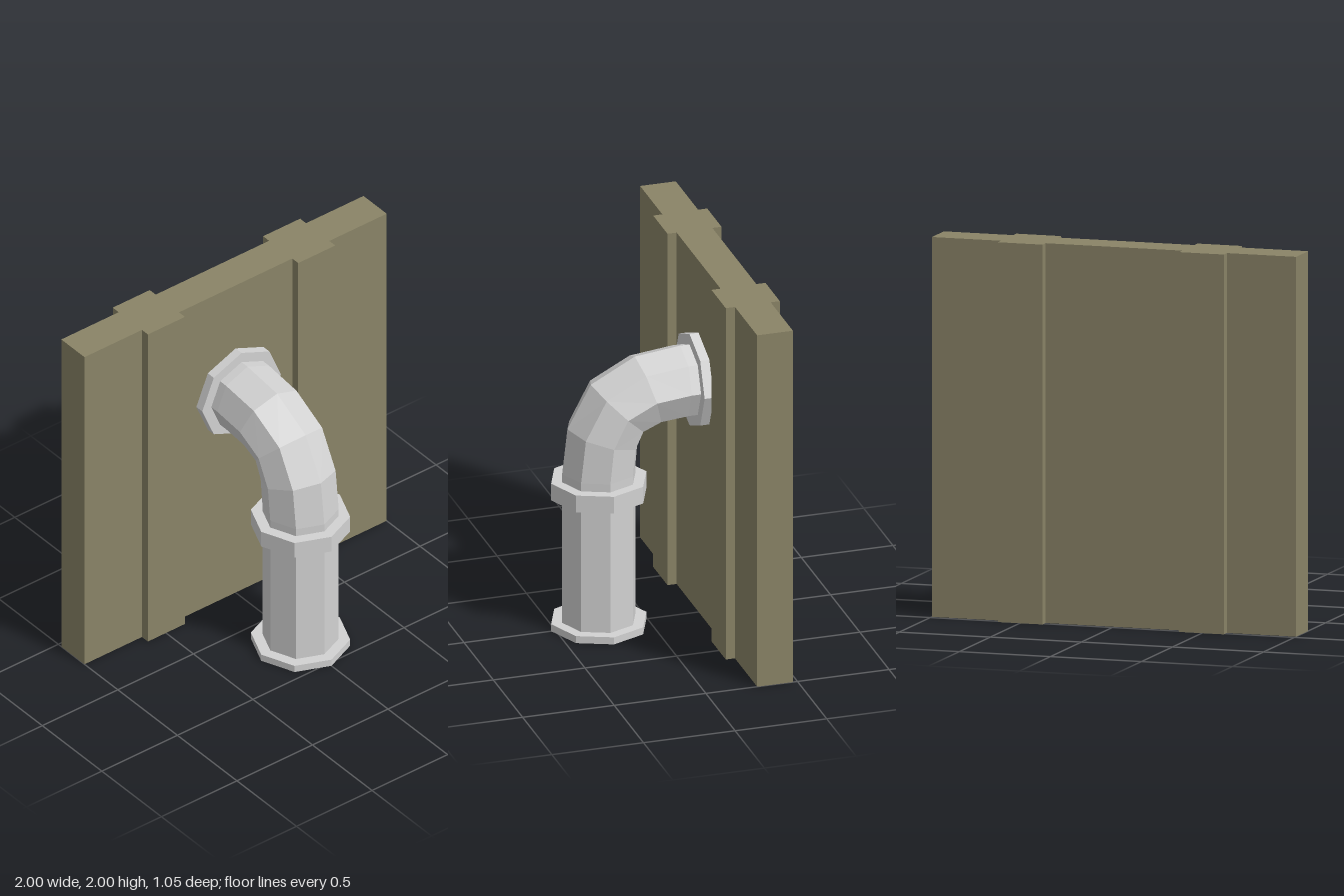
import * as THREE from 'three';

const SIDES = 8;
const PIPE_R = 0.2, RIM_R = 0.26;
const PIPE_Z = 0.265, OUTLET_Y = 1.33;

// Faceted tube that bends in the yz plane; each station is [z, y, tilt in degrees]
function bentPipe(stations, radius) {
  const pos = [], index = [];
  for (const [z, y, deg] of stations) {
    const t = THREE.MathUtils.degToRad(deg);
    for (let j = 0; j < SIDES; j++) {
      const a = (j / SIDES) * Math.PI * 2;
      const out = radius * Math.cos(a);
      pos.push(radius * Math.sin(a), y + out * Math.sin(t), z + out * Math.cos(t));
    }
  }
  for (let i = 0; i < stations.length - 1; i++) {
    for (let j = 0; j < SIDES; j++) {
      const k = (j + 1) % SIDES;
      const a = i * SIDES + j, b = i * SIDES + k;
      index.push(a, b, b + SIDES, a, b + SIDES, a + SIDES);
    }
  }
  const geo = new THREE.BufferGeometry();
  geo.setAttribute('position', new THREE.Float32BufferAttribute(pos, 3));
  geo.setIndex(index);
  const flat = geo.toNonIndexed();
  flat.computeVertexNormals();
  return flat;
}

// Wall plan with two battens standing proud on both faces
function wallGeometry() {
  const front = 0.28, back = 0.475, proudFront = 0.23, proudBack = 0.525;
  const inner = 0.375, outer = 0.62;
  const edge = (flush, proud) => [
    [-1, flush], [-outer, flush], [-outer, proud], [-inner, proud], [-inner, flush],
    [inner, flush], [inner, proud], [outer, proud], [outer, flush], [1, flush],
  ];
  const outline = [...edge(front, proudFront), ...edge(back, proudBack).reverse()];
  const shape = new THREE.Shape(outline.map(([x, y]) => new THREE.Vector2(x, y)));
  return new THREE.ExtrudeGeometry(shape, { depth: 2, bevelEnabled: false }).rotateX(-Math.PI / 2);
}

export function createModel() {
  const group = new THREE.Group();
  const wallPaint = new THREE.MeshStandardMaterial({ color: 0x8a8467, flatShading: true });
  wallPaint.name = 'olive wall';
  const metal = new THREE.MeshStandardMaterial({ color: 0xd2d2d2, flatShading: true });
  metal.name = 'pale grey metal';

  const add = (name, geo, mat) => {
    const mesh = new THREE.Mesh(geo, mat);
    mesh.name = name;
    group.add(mesh);
    return mesh;
  };
  const rim = (name, height) =>
    add(name, new THREE.CylinderGeometry(RIM_R, RIM_R, height, SIDES), metal);

  add('wallPanel', wallGeometry(), wallPaint);

  // Upright run, elbow and short run into the wall
  add('pipe', bentPipe([
    [PIPE_Z, 0.02, 0],
    [PIPE_Z, 0.885, 0],
    [0.245, 1.078, 17],
    [0.167, 1.232, 45],
    [0.01, 1.31, 73],
    [-0.18, OUTLET_Y, 90],
    [-0.29, OUTLET_Y, 90],
  ], PIPE_R), metal);

  // Octagonal rims: floor, mid-height and against the wall
  rim('baseFlange', 0.04).position.set(0, 0.02, PIPE_Z);
  rim('collar', 0.095).position.set(0, 0.7925, PIPE_Z);
  const wallFlange = rim('wallFlange', 0.05);
  wallFlange.rotation.x = Math.PI / 2;
  wallFlange.position.set(0, OUTLET_Y, -0.255);

  return group;
}
